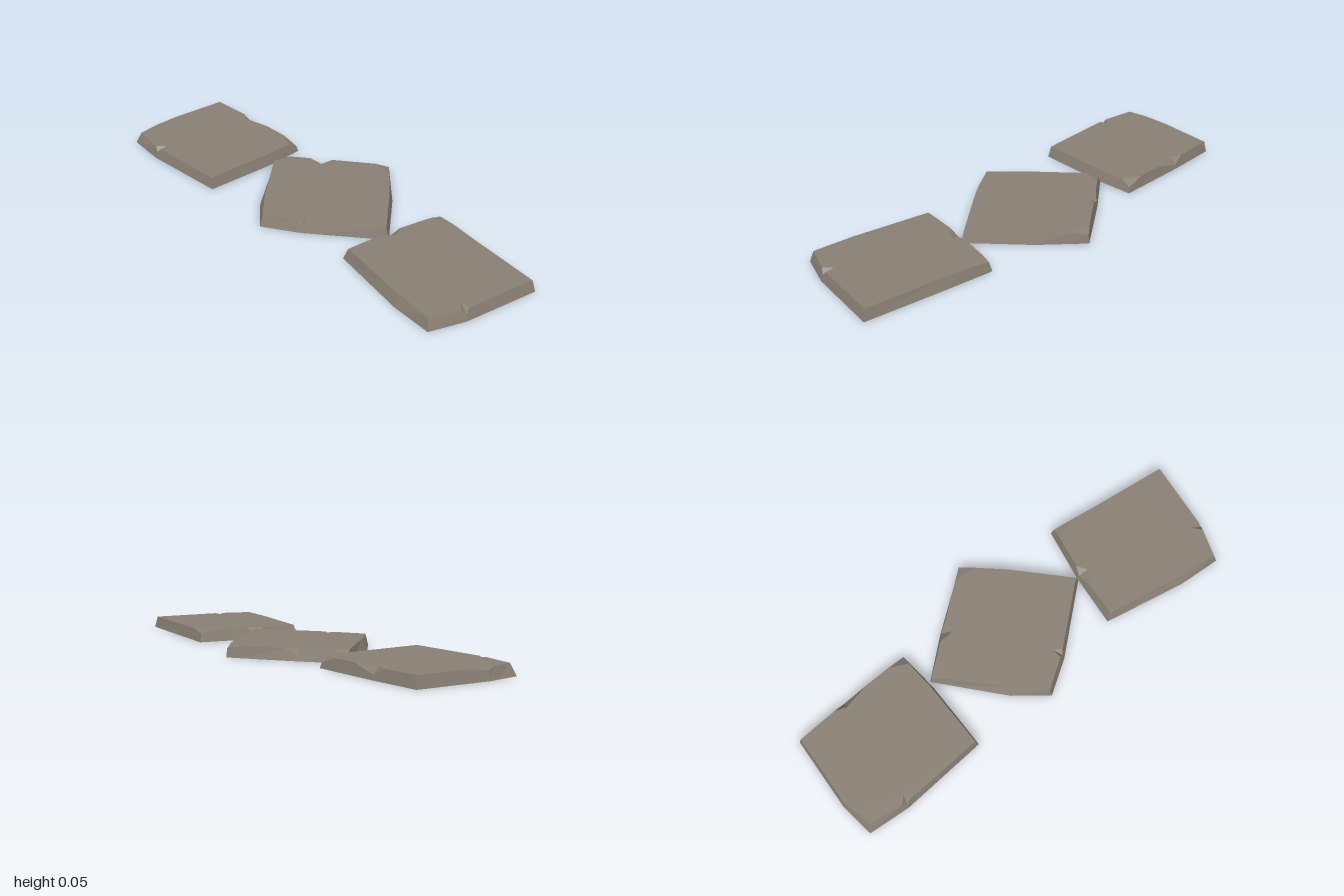
import * as THREE from 'three';

const HEIGHT = 0.05;

// Outline corners, clockwise from above: [x, z, inset, chip]
// chip = [reach to previous corner, reach to next corner, drop, bite into the top]
const SLABS = [
  {
    name: 'backSlab',
    outline: [
      [-0.307, -0.984, 0.026],
      [-0.153, -1.0, 0.012, [0.05, 0.07, 0.012, 0]],
      [0.175, -0.974, 0.012],
      [0.185, -0.74, 0.01, [0.05, 0.12, 0.03, 0.022]],
      [0.185, -0.418, 0.014, [0.08, 0.04, 0.025, 0]],
      [0, -0.407, 0.014],
      [-0.307, -0.418, 0.014],
      [-0.326, -0.803, 0.012, [0.02, 0.02, 0.02, 0.04]],
    ],
  },
  {
    name: 'middleSlab',
    outline: [
      [0.03, -0.402, 0.012, [0.05, 0.07, 0.018, 0]],
      [0.164, -0.238, 0.012, [0.05, 0.05, 0.03, 0.045]],
      [0.344, 0.01, 0.006, [0.06, 0.07, 0.012, 0]],
      [0.196, 0.175, 0.012],
      [-0.026, 0.375, 0.016],
      [-0.254, 0.095, 0.014, [0.02, 0.02, 0.02, 0.04]],
      [-0.344, -0.053, 0.014],
      [-0.233, -0.185, 0.022],
    ],
  },
  {
    name: 'frontSlab',
    outline: [
      [-0.25, 0.344, 0.022],
      [-0.02, 0.376, 0.012, [0.07, 0.04, 0.025, 0.035]],
      [0.217, 0.43, 0.014, [0.05, 0.09, 0.01, 0]],
      [0.185, 0.66, 0.014],
      [0.134, 0.998, 0.015],
      [-0.196, 0.946, 0.012, [0.02, 0.022, 0.02, 0.042]],
      [-0.345, 0.892, 0.018],
      [-0.328, 0.704, 0.02],
    ],
  },
];

function slabGeometry(outline) {
  const centre = new THREE.Vector3();
  const base = outline.map(([x, z]) => new THREE.Vector3(x, 0, z));
  base.forEach((p) => centre.addScaledVector(p, 1 / base.length));
  const inward = (p, d) => p.clone().addScaledVector(centre.clone().sub(p).normalize(), d);
  const top = base.map((p, i) => inward(p, outline[i][2]).setY(HEIGHT));
  const n = base.length;

  const rim = []; // wall columns: { base, top }
  const cap = []; // flat top polygon
  const tris = [];
  // Column part of the way along the edge from corner i to corner j
  const along = (i, j, reach) => {
    const t = reach / base[i].distanceTo(base[j]);
    return { base: base[i].clone().lerp(base[j], t), top: top[i].clone().lerp(top[j], t) };
  };

  outline.forEach(([, , , chip], i) => {
    if (!chip) {
      rim.push({ base: base[i], top: top[i] });
      cap.push(top[i]);
      return;
    }
    // Broken corner: a lowered wall point with facets rising to the top
    const [before, after, drop, bite] = chip;
    const a = along(i, (i + n - 1) % n, before);
    const b = along(i, (i + 1) % n, after);
    const low = top[i].clone().lerp(base[i], drop / HEIGHT);
    rim.push(a, { base: base[i], top: low }, b);
    if (bite > 0) {
      const apex = inward(base[i], bite + outline[i][2]).setY(HEIGHT);
      cap.push(a.top, apex, b.top);
      tris.push(a.top, apex, low, apex, b.top, low);
    } else {
      cap.push(a.top, b.top);
      tris.push(a.top, b.top, low);
    }
  });

  // Sloping walls, open underneath
  rim.forEach((p, i) => {
    const q = rim[(i + 1) % rim.length];
    tris.push(q.base, p.base, p.top, q.base, p.top, q.top);
  });

  // Flat walking surface
  cap.reverse();
  const flat = cap.map((p) => new THREE.Vector2(p.x, -p.z));
  THREE.ShapeUtils.triangulateShape(flat, []).forEach((f) => f.forEach((k) => tris.push(cap[k])));

  const geometry = new THREE.BufferGeometry().setFromPoints(tris);
  geometry.computeVertexNormals();
  return geometry;
}

export function createModel() {
  const stone = new THREE.MeshStandardMaterial({ color: 0x8a8175, side: THREE.DoubleSide, flatShading: true });
  stone.name = 'stone';
  const group = new THREE.Group();
  group.name = 'steppingStones';
  for (const { name, outline } of SLABS) {
    const slab = new THREE.Mesh(slabGeometry(outline), stone);
    slab.name = name;
    group.add(slab);
  }
  return group;
}
